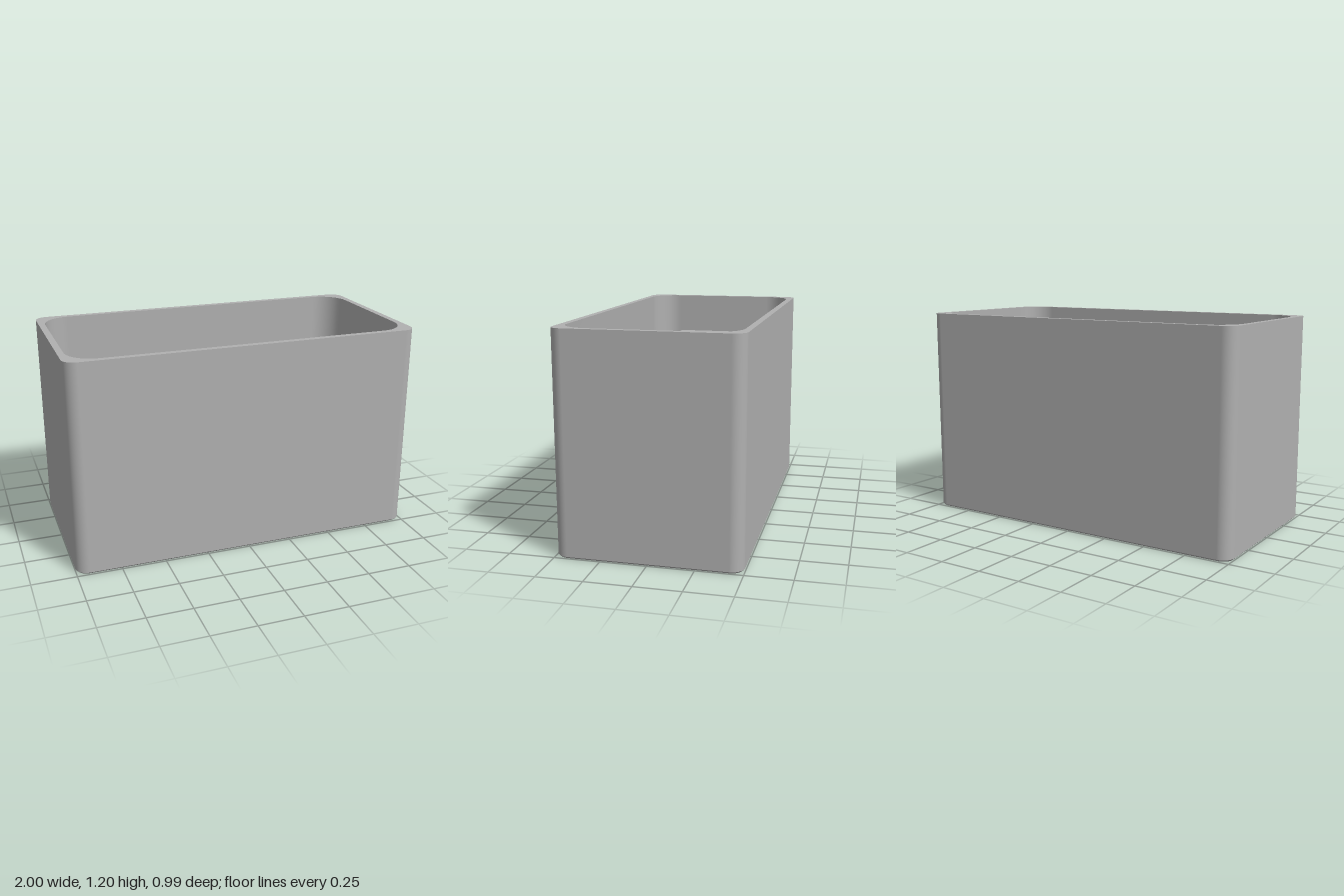
import * as THREE from 'three';

const HX = 1, HZ = 0.497, TOP = 1.2;      // outer half sizes and height
const WALL = 0.036, FLOOR = 0.036;        // wall and floor thickness
const FILLET = 0.15, INNER_R = 0.155;     // inner floor fillet and corner radius

// Rounded rectangle loop, counter-clockwise seen from above
function ring(hx, hz, r, y, n = 10) {
  const pts = [];
  for (let c = 0; c < 4; c++) {
    const sx = c === 0 || c === 3 ? 1 : -1, sz = c < 2 ? -1 : 1;
    for (let i = 0; i <= n; i++) {
      const a = (c + i / n) * Math.PI / 2;
      pts.push([sx * (hx - r) + r * Math.cos(a), y, sz * (hz - r) - r * Math.sin(a)]);
    }
  }
  return pts;
}

// Smooth closed skin through a list of loops
function skin(rings) {
  const n = rings[0].length, index = [];
  for (let k = 0; k < rings.length - 1; k++) {
    for (let i = 0; i < n; i++) {
      const j = (i + 1) % n, a = k * n + i, b = k * n + j;
      index.push(a, b, b + n, a, b + n, a + n);
    }
  }
  const g = new THREE.BufferGeometry();
  g.setAttribute('position', new THREE.Float32BufferAttribute(rings.flat(2), 3));
  g.setIndex(index);
  g.computeVertexNormals();
  return g;
}

export function createModel() {
  const model = new THREE.Group();
  model.name = 'openBin';
  const grey = new THREE.MeshStandardMaterial({ color: 0xb0b0b0 });
  grey.name = 'grey plastic';
  const add = (name, geometry) => {
    const mesh = new THREE.Mesh(geometry, grey);
    mesh.name = name;
    model.add(mesh);
    return mesh;
  };

  // Outside: flat base, small chamfer, straight walls, flat rim
  const base = ring(HX - 0.01, HZ - 0.01, 0.06, 0);
  const chamferTop = ring(HX, HZ, 0.07, 0.01);
  const outerTop = ring(HX, HZ, 0.07, TOP);
  const ix = HX - WALL, iz = HZ - WALL;
  const innerTop = ring(ix, iz, INNER_R, TOP);
  add('underside', skin([ring(0, 0, 0, 0), base]));
  add('bottomChamfer', skin([base, chamferTop]));
  add('outerWalls', skin([chamferTop, outerTop]));
  add('rim', skin([outerTop, innerTop]));

  // Inside: walls that sweep through a fillet into the floor
  const inside = [innerTop];
  for (let i = 0; i <= 10; i++) {
    const a = i / 10 * Math.PI / 2, inset = FILLET * (1 - Math.cos(a));
    inside.push(ring(ix - inset, iz - inset, INNER_R - inset, FLOOR + FILLET * (1 - Math.sin(a))));
  }
  inside.push(ring(0, 0, 0, FLOOR));
  add('innerWallsAndFloor', skin(inside));

  // Label ledge: wedge with a sloping underside on the inner end wall
  const wedge = new THREE.Shape();
  wedge.moveTo(-ix, 0.955);
  wedge.lineTo(-ix, 0.86);
  wedge.lineTo(-0.87, 0.955);
  wedge.closePath();
  const ledge = add('ledge', new THREE.ExtrudeGeometry(wedge, { depth: 0.585, bevelEnabled: false }));
  ledge.position.z = -0.2925;

  return model;
}
